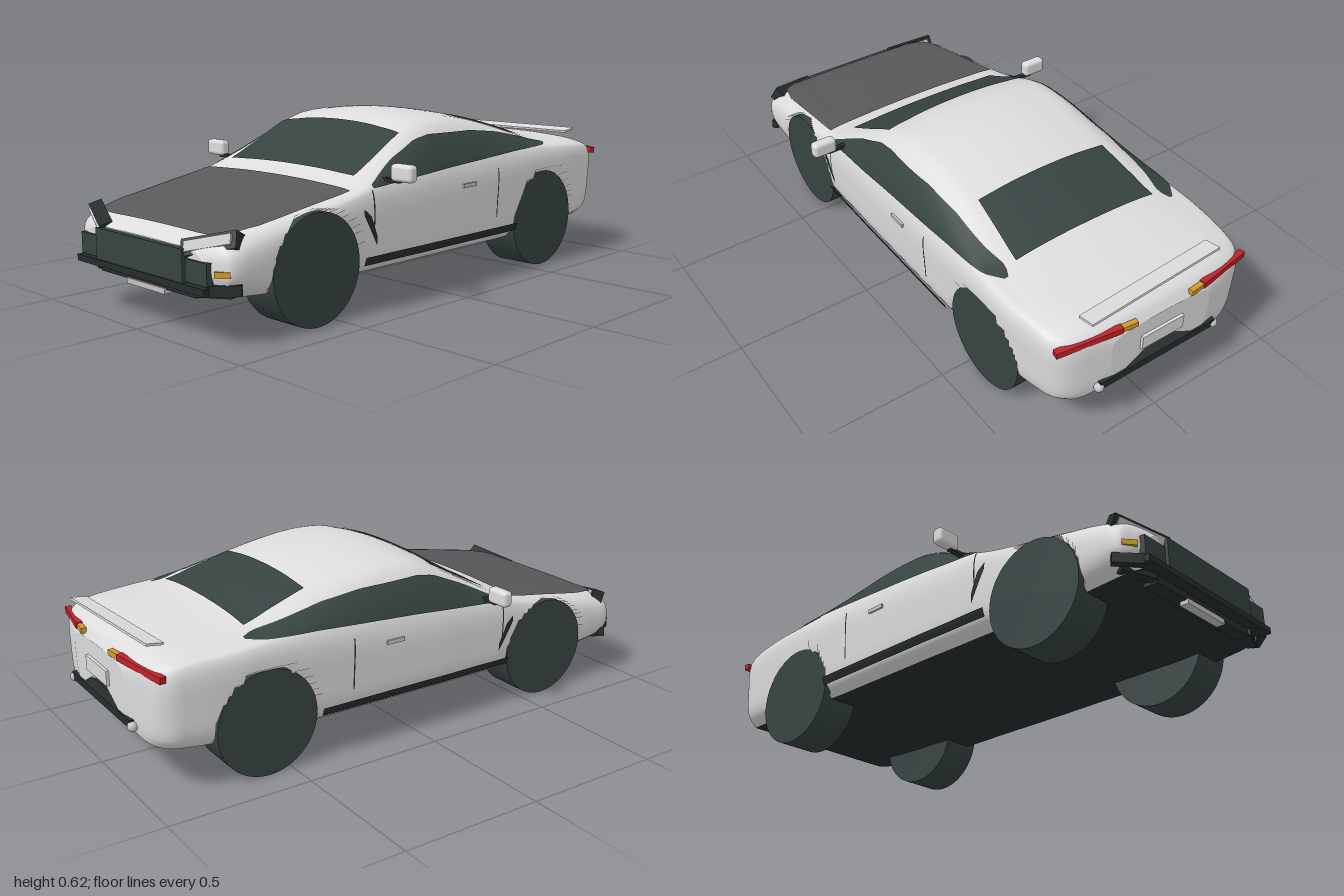
import * as THREE from 'three';
import { ParametricGeometry } from 'three/addons/geometries/ParametricGeometry.js';
import { RoundedBoxGeometry } from 'three/addons/geometries/RoundedBoxGeometry.js';

const V = (x, y, z) => new THREE.Vector3(x, y, z);
const lerp = THREE.MathUtils.lerp;

function material(name, color, side = THREE.FrontSide) {
  const m = new THREE.MeshStandardMaterial({ color, side });
  m.name = name;
  return m;
}

// Body stations: z, half width, floor, belt height, roof half width, roof corner height, centre height
const STATIONS = [
  [-0.985, 0.2, 0.22, 0.38, 0.17, 0.4, 0.41],
  [-0.96, 0.32, 0.18, 0.4, 0.27, 0.425, 0.445],
  [-0.92, 0.375, 0.16, 0.42, 0.31, 0.445, 0.464],
  [-0.85, 0.395, 0.15, 0.435, 0.34, 0.455, 0.477],
  [-0.7, 0.41, 0.14, 0.445, 0.35, 0.462, 0.487],
  [-0.6, 0.41, 0.135, 0.45, 0.345, 0.472, 0.503],
  [-0.5, 0.41, 0.135, 0.45, 0.33, 0.5, 0.535],
  [-0.37, 0.41, 0.13, 0.445, 0.315, 0.535, 0.573],
  [-0.25, 0.41, 0.13, 0.44, 0.31, 0.56, 0.6],
  [-0.1, 0.41, 0.13, 0.43, 0.312, 0.577, 0.617],
  [0.03, 0.41, 0.13, 0.425, 0.315, 0.572, 0.612],
  [0.125, 0.41, 0.13, 0.42, 0.325, 0.54, 0.582],
  [0.25, 0.408, 0.13, 0.41, 0.35, 0.475, 0.51],
  [0.36, 0.408, 0.13, 0.4, 0.375, 0.425, 0.447],
  [0.44, 0.405, 0.13, 0.385, 0.375, 0.4, 0.418],
  [0.6, 0.405, 0.13, 0.345, 0.37, 0.372, 0.385],
  [0.7, 0.405, 0.13, 0.325, 0.365, 0.355, 0.368],
  [0.85, 0.4, 0.14, 0.295, 0.36, 0.328, 0.34],
  [0.93, 0.385, 0.15, 0.275, 0.33, 0.31, 0.318],
  [0.955, 0.345, 0.165, 0.265, 0.29, 0.297, 0.303],
  [0.97, 0.3, 0.185, 0.26, 0.25, 0.285, 0.29],
];

// Smooth station values at any z (cubic Hermite)
function station(z) {
  const S = STATIONS, n = S.length;
  let i = 0;
  while (i < n - 2 && z > S[i + 1][0]) i++;
  const a = S[i], b = S[i + 1], p = S[Math.max(i - 1, 0)], q = S[Math.min(i + 2, n - 1)];
  const h = b[0] - a[0], t = THREE.MathUtils.clamp((z - a[0]) / h, 0, 1);
  return a.map((v, k) => {
    const m0 = (b[k] - p[k]) / (b[0] - p[0]) * h, m1 = (q[k] - v) / (q[0] - a[0]) * h;
    return (2 * t ** 3 - 3 * t * t + 1) * v + (t ** 3 - 2 * t * t + t) * m0
      + (3 * t * t - 2 * t ** 3) * b[k] + (t ** 3 - t * t) * m1;
  });
}

// Cross-section from one sill over the roof to the other
const RING = 72, cache = new Map();
function ring(z) {
  if (cache.has(z)) return cache.get(z);
  const [, w, yb, belt, wr, yr, top] = station(z);
  const half = [
    [0.86 * w, yb], [0.96 * w, yb + 0.035], [w, lerp(yb, belt, 0.5)],
    [0.985 * w, belt], [wr, yr], [0.6 * wr, lerp(yr, top, 0.72)],
  ];
  const pts = [...half, [0, top], ...half.map(([x, y]) => [-x, y]).reverse()];
  const r = new THREE.CatmullRomCurve3(pts.map(([x, y]) => V(x, y, 0))).getPoints(RING);
  cache.set(z, r);
  return r;
}

// Project onto the body from the side (axis 'y') or from above (axis 'x')
function project(z, value, axis) {
  const r = ring(z), other = axis === 'y' ? 'x' : 'y';
  for (let i = RING / 2; i > 0; i--) {
    const a = r[i], b = r[i - 1];
    if ((a[axis] - value) * (b[axis] - value) <= 0 && a[axis] !== b[axis])
      return lerp(a[other], b[other], (value - a[axis]) / (b[axis] - a[axis]));
  }
  return axis === 'y' ? 0 : r[RING / 2 - 12].y;
}

// Piecewise-linear function through [z, y] points in falling z
const line = (...p) => z => {
  let i = 0;
  while (i < p.length - 2 && z < p[i + 1][0]) i++;
  return lerp(p[i][1], p[i + 1][1], (z - p[i][0]) / (p[i + 1][0] - p[i][0]));
};

export function createModel() {
  const car = new THREE.Group();
  car.name = 'car';
  const paint = material('body paint', 0xdcdcdc);
  const hoodGrey = material('hood grey', 0x5a585a, THREE.DoubleSide);
  const glass = material('dark glass', 0x364341, THREE.DoubleSide);
  const rubber = material('tyre rubber', 0x364342);
  const trim = material('black trim', 0x262d2c, THREE.DoubleSide);
  const silver = material('silver', 0xc4c2c6);
  const red = material('red lamp', 0xc0222b);
  const amber = material('amber lamp', 0xd29a2a);

  const add = (name, geo, mat) => {
    const m = new THREE.Mesh(geo, mat);
    m.name = name;
    car.add(m);
    return m;
  };
  const box = (name, mat, w, h, d, x, y, z) =>
    add(name, new THREE.BoxGeometry(w, h, d), mat).position.set(x, y, z);

  // Box running from a to b, leaned about its own length
  const bar = (name, mat, a, b, h, d, lean = 0) => {
    const dir = b.clone().sub(a), len = dir.length();
    const X = dir.normalize(), Z = V(0, 0, 1).addScaledVector(X, -X.z).normalize();
    const m = add(name, new THREE.BoxGeometry(len, h, d), mat);
    m.quaternion.setFromRotationMatrix(new THREE.Matrix4().makeBasis(X, Z.clone().cross(X), Z));
    m.rotateX(lean);
    m.position.copy(a).add(b).multiplyScalar(0.5);
  };

  // Panels that follow the body
  const sidePanel = (name, mat, s, z0, z1, low, high, off = 0.005, nz = 40) =>
    add(name, new ParametricGeometry((u, v, t) => {
      const z = lerp(z0, z1, u), y = lerp(low(z), high(z), v);
      t.set(s * (project(z, y, 'y') + off), y, z);
    }, nz, 12), mat);
  const topPanel = (name, mat, z0, z1, halfWidth) =>
    add(name, new ParametricGeometry((u, v, t) => {
      const z = lerp(z0, z1, v), x = halfWidth(z) * (2 * u - 1);
      t.set(x, project(z, Math.abs(x), 'x') + 0.005, z);
    }, 32, 32), mat);

  // Body shell with closed ends, tighter sampling at nose and tail
  const N = 220, wheels = [0.597, -0.587], R = 0.182;
  const shell = new ParametricGeometry((u, v, t) => {
    const k = THREE.MathUtils.clamp((v * N - 1) / (N - 2), 0, 1);
    const z = -0.0075 + 0.9775 * Math.sin((k - 0.5) * Math.PI);
    if (v < 0.5 / N || v > 1 - 0.5 / N) t.set(0, lerp(station(z)[2], station(z)[6], 0.5), z);
    else t.copy(ring(z)[Math.round(u * RING)]).setZ(z);
  }, RING, N);
  shell.computeVertexNormals();
  // Wheel arches: sink the flanks behind the wheel faces
  const pos = shell.attributes.position;
  for (let i = 0; i < pos.count; i++) {
    const x = pos.getX(i);
    if (wheels.some(z => Math.hypot(pos.getZ(i) - z, pos.getY(i) - R) < R + 0.007))
      pos.setX(i, THREE.MathUtils.clamp(x, -0.365, 0.365));
  }
  add('bodyShell', shell, paint);
  add('underbody', new ParametricGeometry((u, v, t) => {
    const z = lerp(-0.985, 0.97, v), [, w, yb] = station(z);
    t.set(0.86 * w * (2 * u - 1), yb, z);
  }, 2, 60), trim);

  // Hood, windscreen and rear window
  topPanel('hood', hoodGrey, 0.92, 0.435, line([0.92, 0.32], [0.8, 0.352], [0.435, 0.368]));
  topPanel('windscreen', glass, 0.36, 0.125, line([0.36, 0.31], [0.125, 0.293]));
  topPanel('rearWindow', glass, -0.37, -0.61, line([-0.37, 0.26], [-0.61, 0.285]));

  for (const s of [1, -1]) {
    const at = (x, y, z) => V(s * x, y, z);
    for (const z of wheels) {
      const wheel = add('wheel', new THREE.CylinderGeometry(R, R, 0.145, 64), rubber);
      wheel.rotation.z = Math.PI / 2;
      wheel.position.set(s * 0.318, R, z);
    }
    // Side glass and door details
    sidePanel('sideWindow', glass, s, 0.36, -0.64,
      line([0.36, 0.41], [0, 0.437], [-0.4, 0.46], [-0.64, 0.467]),
      line([0.36, 0.42], [0.22, 0.49], [0.1, 0.54], [0.03, 0.552], [-0.2, 0.547], [-0.35, 0.53], [-0.5, 0.5], [-0.64, 0.47]));
    sidePanel('sill', trim, s, 0.405, -0.395, () => 0.163, () => 0.192, 0.012);
    sidePanel('doorRearGap', trim, s, -0.272, -0.277, () => 0.23, () => 0.41, 0.003, 1);
    sidePanel('doorFrontGap', trim, s, 0.371, 0.366, () => 0.27, () => 0.405, 0.003, 1);
    sidePanel('fenderVent', trim, s, 0.415, 0.355,
      line([0.415, 0.33], [0.355, 0.225]), line([0.415, 0.35], [0.385, 0.325], [0.355, 0.255]), 0.005, 8);
    box('doorHandle', silver, 0.012, 0.014, 0.07, s * 0.414, 0.368, -0.11);
    // Mirror
    add('mirror', new RoundedBoxGeometry(0.09, 0.057, 0.04, 4, 0.014), paint).position.set(s * 0.47, 0.459, 0.295);
    box('mirrorStem', trim, 0.075, 0.012, 0.018, s * 0.418, 0.431, 0.295);
    // Headlamp pods and indicators
    bar('headlampPod', trim, at(0.2, 0.274, 0.958), at(0.372, 0.316, 0.887), 0.056, 0.045, -0.45);
    bar('headlampLens', silver, at(0.214, 0.279, 0.956), at(0.36, 0.315, 0.896), 0.034, 0.053, -0.45);
    bar('indicator', amber, at(0.345, 0.225, 0.962), at(0.382, 0.225, 0.932), 0.018, 0.012);
    // Bumper corners and lower flaps
    box('sideGrille', glass, 0.105, 0.07, 0.03, s * 0.277, 0.222, 0.963);
    bar('bumperCorner', trim, at(0.325, 0.174, 0.968), at(0.393, 0.177, 0.9), 0.034, 0.024);
    bar('lowerFlap', trim, at(0.25, 0.152, 0.95), at(0.36, 0.158, 0.905), 0.02, 0.03);
    // Tail lamps and exhaust tips
    bar('tailLamp', red, at(0.385, 0.41, -0.935), at(0.165, 0.424, -0.978), 0.022, 0.022);
    bar('rearIndicator', amber, at(0.163, 0.424, -0.978), at(0.11, 0.424, -0.984), 0.018, 0.018);
    add('exhaustTip', new THREE.SphereGeometry(0.017, 16, 12), silver).position.set(s * 0.24, 0.218, -0.982);
  }

  // Nose
  box('grille', glass, 0.455, 0.105, 0.03, 0, 0.234, 0.974);
  box('bumperLip', trim, 0.67, 0.022, 0.05, 0, 0.173, 0.968);
  box('lowerBumper', trim, 0.5, 0.028, 0.05, 0, 0.15, 0.932);
  box('frontPlate', silver, 0.2, 0.018, 0.03, 0, 0.131, 0.948);

  // Tail
  box('rearBumperBar', trim, 0.48, 0.028, 0.035, 0, 0.225, -0.973);
  box('rearPlate', paint, 0.17, 0.052, 0.01, 0, 0.325, -0.99);
  bar('rearBlade', paint, V(-0.273, 0.482, -0.905), V(0.273, 0.482, -0.935), 0.008, 0.06, 0.15);

  return car;
}
